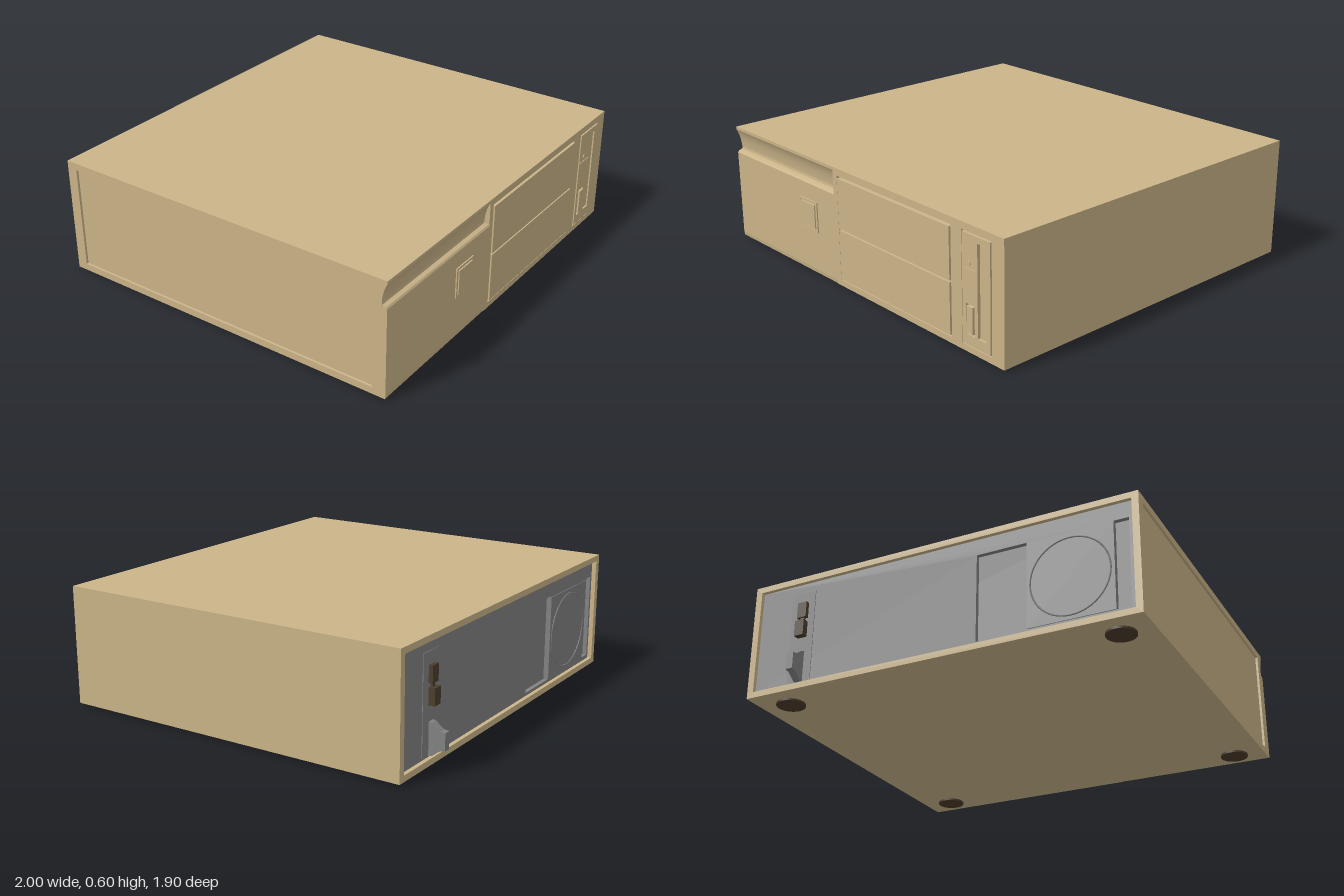
import * as THREE from 'three';

const tan = new THREE.MeshStandardMaterial({ color: 0xcab488 });
tan.name = 'caseTan';
const grey = new THREE.MeshStandardMaterial({ color: 0x828282 });
grey.name = 'metalGrey';
const brown = new THREE.MeshStandardMaterial({ color: 0x4c3d2c });
brown.name = 'darkBrown';

export function createModel() {
  const group = new THREE.Group();
  const add = (name, geometry, material) => {
    const mesh = new THREE.Mesh(geometry, material);
    mesh.name = name;
    group.add(mesh);
    return mesh;
  };
  // Box given by its limits on each axis
  const box = (name, mat, x0, x1, y0, y1, z0, z1) =>
    add(name, new THREE.BoxGeometry(x1 - x0, y1 - y0, z1 - z0)
      .translate((x0 + x1) / 2, (y0 + y1) / 2, (z0 + z1) / 2), mat);
  const trace = (path, [x0, x1, y0, y1]) =>
    path.moveTo(x0, y0).lineTo(x1, y0).lineTo(x1, y1).lineTo(x0, y1).closePath();
  // Flat plate with rectangular holes, extruded from z0 to z1
  const plateGeometry = (outer, holes, z0, z1) => {
    const shape = new THREE.Shape();
    trace(shape, outer);
    for (const hole of holes) {
      const path = new THREE.Path();
      trace(path, hole);
      shape.holes.push(path);
    }
    return new THREE.ExtrudeGeometry(shape, { depth: z1 - z0, bevelEnabled: false }).translate(0, 0, z0);
  };
  const plate = (name, mat, ...args) => add(name, plateGeometry(...args), mat);
  // Side profile of (z, y) points extruded between x0 and x1
  const profile = (name, mat, shape, x0, x1) =>
    add(name, new THREE.ExtrudeGeometry(shape, { depth: x1 - x0, bevelEnabled: false, curveSegments: 16 })
      .rotateY(-Math.PI / 2).translate(x1, 0, 0), mat);

  // Case
  box('caseBody', tan, -0.988, 1, 0.01, 0.6, -0.84, 0.9);
  plate('backFrame', tan, [-1, 1, 0.01, 0.6], [[-0.967, 0.967, 0.04, 0.57]], -0.89, -0.84);
  add('sideFrame', plateGeometry([-0.84, 0.9, 0.01, 0.6], [[-0.835, 0.87, 0.045, 0.565]], 0, 0.012)
    .rotateY(-Math.PI / 2).translate(-0.988, 0, 0), tan);

  // Left front bezel with the long scooped groove
  const scoop = new THREE.Shape();
  scoop.moveTo(0.9, 0.01).lineTo(0.937, 0.01).lineTo(0.94, 0.03).lineTo(0.94, 0.464)
    .lineTo(0.934, 0.472).lineTo(0.915, 0.478).lineTo(0.913, 0.49)
    .quadraticCurveTo(0.918, 0.55, 0.94, 0.585).lineTo(0.94, 0.6).lineTo(0.9, 0.6).closePath();
  profile('groovedBezel', tan, scoop, -1, -0.17);

  // Right front bezel with openings for the bays and the drive
  plate('bayBezel', tan, [-0.17, 1, 0.01, 0.6],
    [[-0.14, 0.668, 0.04, 0.565], [0.737, 0.925, 0.04, 0.565]], 0.9, 0.94);
  box('lowerBayCover', tan, -0.133, 0.661, 0.048, 0.297, 0.9, 0.944);
  box('upperBayCover', tan, -0.133, 0.661, 0.305, 0.554, 0.9, 0.944);

  // Power button in its raised rim
  plate('powerButtonRim', tan, [-0.452, -0.308, 0.228, 0.382], [[-0.44, -0.32, 0.24, 0.37]], 0.935, 0.946);
  box('powerButton', tan, -0.436, -0.324, 0.244, 0.366, 0.935, 0.949);

  // Floppy drive
  plate('driveFace', tan, [0.743, 0.919, 0.046, 0.559],
    [[0.84, 0.892, 0.095, 0.53], [0.766, 0.82, 0.095, 0.24]], 0.9, 0.943);
  box('driveSlotCover', tan, 0.851, 0.887, 0.1, 0.525, 0.9, 0.938);
  box('driveSlotShadow', brown, 0.841, 0.848, 0.1, 0.4, 0.9, 0.925);
  box('ejectButton', tan, 0.774, 0.812, 0.104, 0.231, 0.9, 0.948);
  box('ejectButtonGap', brown, 0.767, 0.819, 0.096, 0.239, 0.9, 0.912);
  box('driveRidge', tan, 0.75, 0.838, 0.397, 0.403, 0.94, 0.947);
  add('driveLight', new THREE.CylinderGeometry(0.011, 0.011, 0.006, 16)
    .rotateX(Math.PI / 2).translate(0.787, 0.428, 0.944), tan);

  // Back panel with two sunken areas beside the power supply
  plate('backPanel', grey, [-0.96, 0.967, 0.04, 0.57],
    [[-0.46, -0.21, 0.055, 0.49], [-0.945, -0.875, 0.06, 0.49]], -0.87, -0.845);
  box('backPanelFloor', grey, -0.96, 0.96, 0.045, 0.565, -0.848, -0.839);
  box('powerSupplyPlate', grey, -0.875, -0.46, 0.06, 0.485, -0.874, -0.868);
  add('fanRing', new THREE.TorusGeometry(0.19, 0.004, 6, 48).translate(-0.667, 0.27, -0.874), grey);
  box('portPlate', grey, 0.66, 0.79, 0.05, 0.52, -0.873, -0.868);

  // Ports and cable plug
  box('upperPort', brown, 0.695, 0.745, 0.38, 0.46, -0.893, -0.868);
  box('lowerPort', brown, 0.695, 0.745, 0.28, 0.36, -0.905, -0.868);
  box('portBridge', brown, 0.71, 0.73, 0.36, 0.38, -0.885, -0.868);
  const plug = new THREE.Shape();
  plug.moveTo(-0.87, 0.045).lineTo(-0.87, 0.205).lineTo(-0.89, 0.2).lineTo(-0.93, 0.17)
    .lineTo(-0.955, 0.167).lineTo(-0.955, 0.085).lineTo(-0.93, 0.08).lineTo(-0.89, 0.05).closePath();
  profile('cablePlug', grey, plug, 0.702, 0.738);

  // Feet
  for (const x of [-0.845, 0.845]) for (const z of [-0.75, 0.82])
    add('foot', new THREE.CylinderGeometry(0.07, 0.07, 0.012, 32).translate(x, 0.006, z), brown);

  return group;
}
